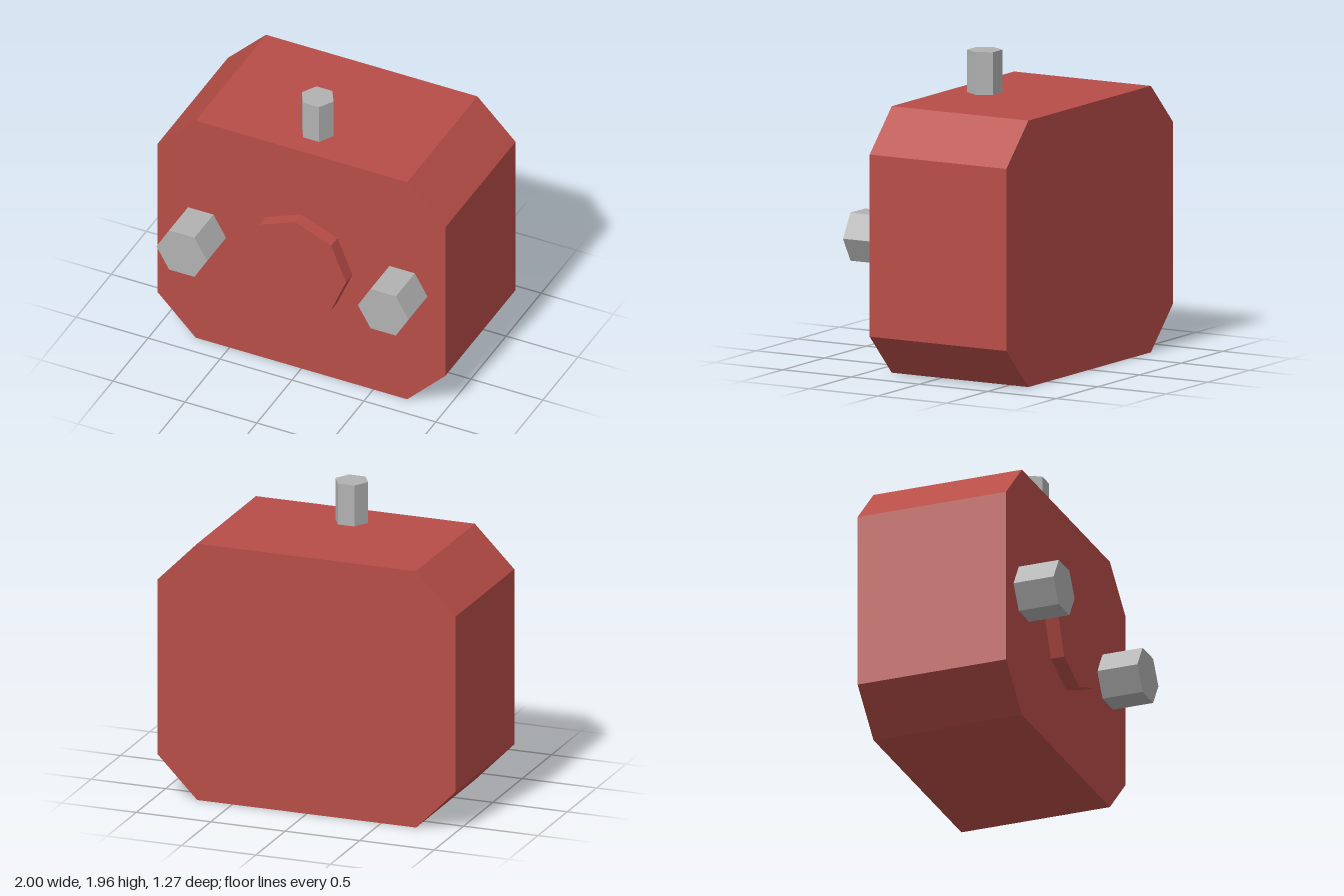
import * as THREE from 'three';

export function createModel() {
  const model = new THREE.Group();
  model.name = 'gearboxBlock';

  const red = new THREE.MeshStandardMaterial({ color: 0xb84d47, flatShading: true });
  red.name = 'red casing';
  const grey = new THREE.MeshStandardMaterial({ color: 0xb2b2b2, flatShading: true });
  grey.name = 'grey metal';

  const add = (name, geometry, material, x, y, z) => {
    const mesh = new THREE.Mesh(geometry, material);
    mesh.name = name;
    mesh.position.set(x, y, z);
    model.add(mesh);
    return mesh;
  };
  // Prism with corners on the x axis
  const prism = (radius, length, sides) =>
    new THREE.CylinderGeometry(radius, radius, length, sides, 1, false, Math.PI / 2);

  // Casing with chamfered corners
  const outline = new THREE.Shape([
    [-0.735, 0], [0.735, 0], [1, 0.268], [1, 1.423],
    [0.735, 1.69], [-0.735, 1.69], [-1, 1.423], [-1, 0.268],
  ].map(([x, y]) => new THREE.Vector2(x, y)));
  add('casing', new THREE.ExtrudeGeometry(outline, { depth: 1, bevelEnabled: false }), red, 0, 0, -0.635);

  // Octagonal boss on the front
  add('frontBoss', prism(0.354, 0.09, 8).rotateX(Math.PI / 2), red, 0, 0.846, 0.41);

  // Hexagonal front studs
  for (const [name, side] of [['leftStud', 1], ['rightStud', -1]]) {
    add(name, prism(0.176, 0.27, 6).rotateX(Math.PI / 2), grey, side * 0.7, 0.846, 0.5);
  }

  // Hexagonal shaft on top
  add('topShaft', prism(0.11, 0.27, 6), grey, 0, 1.825, 0.133);

  return model;
}
